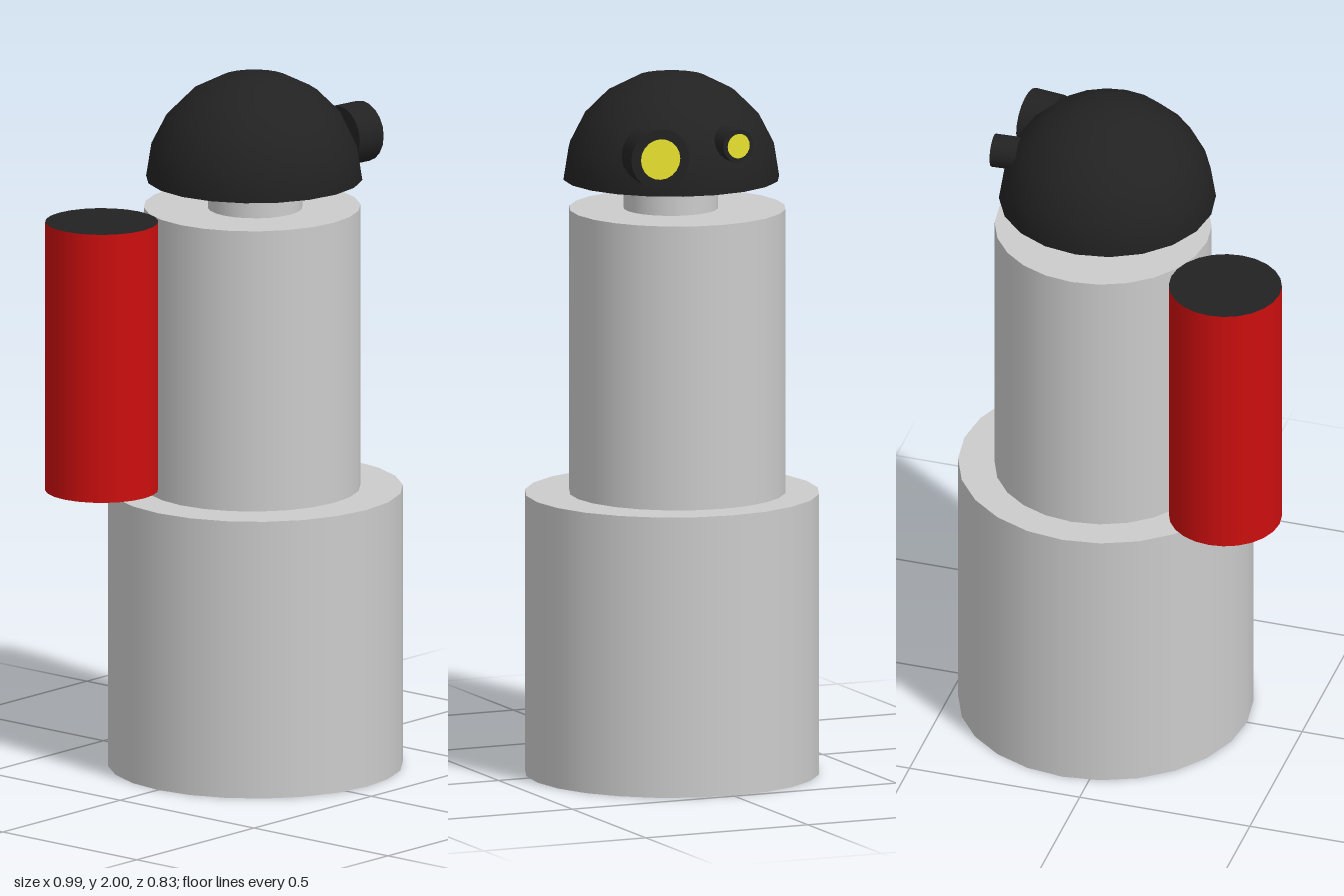
import * as THREE from 'three';

const grey = new THREE.MeshStandardMaterial({ color: 0xcccccc });
const black = new THREE.MeshStandardMaterial({ color: 0x222222 });
const blackShell = new THREE.MeshStandardMaterial({ color: 0x222222, side: THREE.DoubleSide });
const red = new THREE.MeshStandardMaterial({ color: 0xcc0e0e });
const yellow = new THREE.MeshStandardMaterial({ color: 0xe8e22e });

// Upright cylinder between two heights
function column(name, radius, y0, y1, x, z, material) {
  const mesh = new THREE.Mesh(new THREE.CylinderGeometry(radius, radius, y1 - y0, 24), material);
  mesh.position.set(x, (y0 + y1) / 2, z);
  mesh.name = name;
  return mesh;
}

// Short barrel with a yellow lens; position is the centre of its outer face
function eye(name, radius, lensRadius, length, position, yaw) {
  const group = new THREE.Group();
  group.name = name;
  const barrelGeo = new THREE.CylinderGeometry(radius, radius, length, 20);
  barrelGeo.rotateZ(-Math.PI / 2).translate(-length / 2, 0, 0);
  const barrel = new THREE.Mesh(barrelGeo, black);
  barrel.name = name + 'Barrel';
  const lensGeo = new THREE.CircleGeometry(lensRadius, 20);
  lensGeo.rotateY(Math.PI / 2).translate(0.002, 0, 0);
  const lens = new THREE.Mesh(lensGeo, yellow);
  lens.name = name + 'Lens';
  group.add(barrel, lens);
  group.position.set(...position);
  group.rotation.y = yaw;
  return group;
}

export function createModel() {
  const model = new THREE.Group();
  model.name = 'domedRobot';

  // Stacked body
  model.add(
    column('base', 0.415, 0, 0.8, 0.077, 0, grey),
    column('torso', 0.305, 0.8, 1.61, 0.08, -0.015, grey),
    column('neck', 0.133, 1.61, 1.755, 0.073, 0.002, grey),
  );

  // Side canister: red wall, black ends
  model.add(column('canister', 0.159, 0.835, 1.61, -0.339, -0.21, [red, black, black]));

  // Open hemispherical head
  const dome = new THREE.Mesh(
    new THREE.SphereGeometry(0.305, 20, 5, 0, Math.PI * 2, 0, Math.PI / 2), blackShell);
  dome.position.set(0.072, 1.695, 0);
  dome.name = 'headDome';
  model.add(dome);

  // Large and small eyes on the model's left side of the head
  model.add(
    eye('largeEye', 0.086, 0.058, 0.09, [0.353, 1.805, 0.161], -0.12),
    eye('smallEye', 0.047, 0.035, 0.075, [0.387, 1.832, -0.064], 0.055),
  );
  return model;
}
